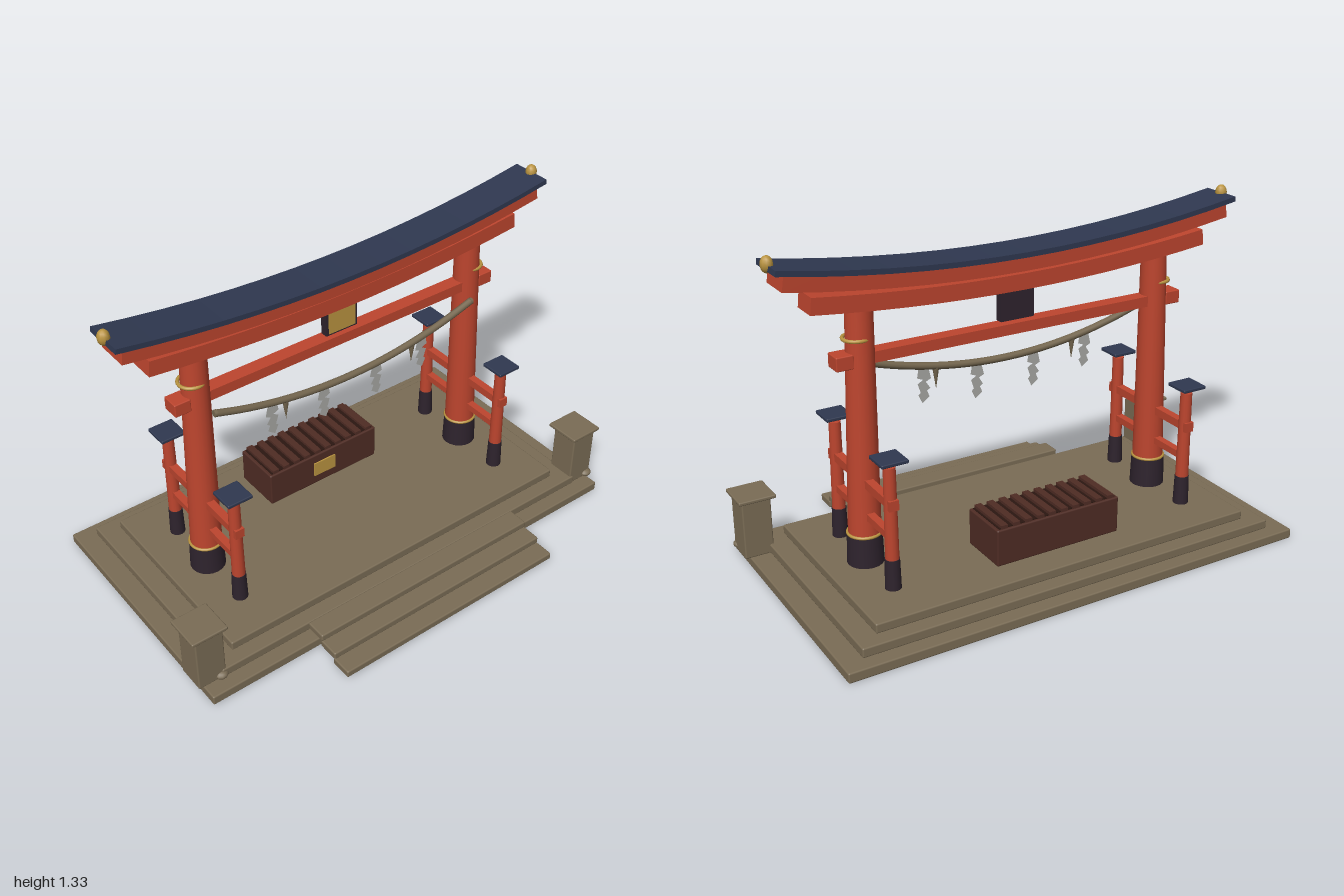
import * as THREE from 'three';
import { RoundedBoxGeometry } from 'three/addons/geometries/RoundedBoxGeometry.js';

const mat = (name, color, side = THREE.FrontSide) => {
  const m = new THREE.MeshStandardMaterial({ color, side });
  m.name = name;
  return m;
};

export function createModel() {
  const stone = mat('stone', 0x7a6c55);
  const red = mat('vermilion', 0xbd452e);
  const navy = mat('roofNavy', 0x2f3850);
  const dark = mat('darkSleeve', 0x2e232d);
  const wood = mat('brownWood', 0x4f2c24);
  const deepWood = mat('deepWood', 0x2b1711);
  const gold = mat('gold', 0xba9440);
  const straw = mat('straw', 0x75674f);
  const paper = mat('paper', 0xa8a8a4, THREE.DoubleSide);

  const root = new THREE.Group();
  root.name = 'shrineGate';
  const Z = -0.095; // depth of the gate plane

  const group = (name, parent = root) => {
    const g = new THREE.Group();
    g.name = name;
    parent.add(g);
    return g;
  };
  const add = (parent, name, geo, material, x = 0, y = 0, z = 0) => {
    const m = new THREE.Mesh(geo, material);
    m.name = name;
    m.position.set(x, y, z);
    parent.add(m);
    return m;
  };
  // box given by its min / max extents
  const span = (parent, name, material, x0, x1, y0, y1, z0, z1, r = 0) => {
    const s = [x1 - x0, y1 - y0, z1 - z0];
    const geo = r ? new RoundedBoxGeometry(...s, 2, r) : new THREE.BoxGeometry(...s);
    return add(parent, name, geo, material, (x0 + x1) / 2, (y0 + y1) / 2, (z0 + z1) / 2);
  };

  // Stepped platform
  const platform = group('platform');
  span(platform, 'lowerTier', stone, -0.965, 0.965, 0, 0.04, -0.63, 0.437, 0.006);
  span(platform, 'middleTier', stone, -0.885, 0.885, 0.038, 0.076, -0.572, 0.378, 0.006);
  span(platform, 'upperTier', stone, -0.805, 0.805, 0.074, 0.112, -0.512, 0.318, 0.006);

  // Front steps
  const steps = group('frontSteps');
  for (let i = 0; i < 3; i++) {
    const z = 0.387 + i * 0.078, y = 0.061 - i * 0.028;
    span(steps, 'step', stone, -0.512, 0.512, y, y + 0.03, z, z + 0.087, 0.006);
  }

  // Stone posts on the front corners
  for (const s of [-1, 1]) {
    const post = group(s > 0 ? 'leftStonePost' : 'rightStonePost');
    const cx = s * 0.926;
    span(post, 'postBody', stone, cx - 0.058, cx + 0.058, 0.038, 0.278, 0.258, 0.374, 0.006);
    span(post, 'postCap', stone, cx - 0.074, cx + 0.074, 0.275, 0.29, 0.238, 0.386, 0.005);
    add(post, 'pebble', new THREE.SphereGeometry(0.027, 10, 8), stone, cx + 0.04, 0.053, 0.367)
      .scale.set(1, 0.6, 1);
  }

  // Pillars with their side supports
  for (const s of [-1, 1]) {
    const side = group(s > 0 ? 'leftPillar' : 'rightPillar');
    const x = s * 0.645;
    const shaft = add(side, 'shaft', new THREE.CylinderGeometry(0.05, 0.064, 1.0, 20), red, s * 0.638, 0.61, Z);
    shaft.rotation.z = s * 0.016;
    add(side, 'sleeve', new THREE.CylinderGeometry(0.066, 0.07, 0.122, 20), dark, x, 0.171, Z);
    const ring = new THREE.TorusGeometry(0.063, 0.006, 8, 24).rotateX(Math.PI / 2);
    add(side, 'lowerRing', ring, gold, x, 0.234, Z);
    const upper = new THREE.TorusGeometry(0.049, 0.007, 8, 24).rotateX(Math.PI / 2);
    add(side, 'upperRing', upper, gold, x, 0.988, Z);

    for (const d of [-1, 1]) {
      const pole = group(d > 0 ? 'frontPole' : 'backPole', side);
      const z = Z + d * 0.227;
      add(pole, 'poleShaft', new THREE.CylinderGeometry(0.023, 0.027, 0.46, 14), red, x, 0.358, z);
      add(pole, 'poleSleeve', new THREE.CylinderGeometry(0.028, 0.031, 0.12, 14), dark, x, 0.171, z);
      span(pole, 'poleCap', navy, x - 0.052, x + 0.052, 0.609, 0.623, z - 0.052, z + 0.052, 0.004);
      span(pole, 'railEnd', red, x - 0.019, x + 0.019, 0.429, 0.468, z + d * 0.015 - 0.016, z + d * 0.015 + 0.016);
    }
    span(side, 'upperRail', red, x - 0.016, x + 0.016, 0.432, 0.465, Z - 0.25, Z + 0.25);
    span(side, 'lowerRail', red, x - 0.015, x + 0.015, 0.304, 0.332, Z - 0.225, Z + 0.225);
  }

  // Straight tie beam with wedge ends
  const tie = group('tieBeam');
  span(tie, 'beam', red, -0.72, 0.72, 0.892, 0.934, Z - 0.029, Z + 0.029);
  for (const s of [-1, 1])
    add(tie, 'beamEnd', new RoundedBoxGeometry(0.066, 0.053, 0.072, 2, 0.004), red, s * 0.706, 0.913, Z);

  // Upward-curving beams laid from short straight blocks
  const curvedBeam = (name, material, half, yMid, rise, h, d, n) => {
    const g = group(name);
    const f = (x) => yMid + rise * (x / half) ** 2;
    for (let i = 0; i < n; i++) {
      const x0 = -half + (2 * half * i) / n, x1 = x0 + (2 * half) / n;
      const dy = f(x1) - f(x0);
      const geo = new THREE.BoxGeometry(Math.hypot(x1 - x0, dy) + 0.004, h, d);
      add(g, name + 'Block', geo, material, (x0 + x1) / 2, (f(x0) + f(x1)) / 2, Z)
        .rotation.z = Math.atan2(dy, x1 - x0);
    }
  };
  curvedBeam('lowerLintel', red, 0.825, 1.097, 0.048, 0.062, 0.106, 14);
  curvedBeam('upperLintel', red, 0.923, 1.17, 0.073, 0.058, 0.134, 14);
  curvedBeam('roof', navy, 0.952, 1.206, 0.081, 0.02, 0.168, 14);

  // Roof finials
  for (const s of [-1, 1])
    add(root, s > 0 ? 'leftFinial' : 'rightFinial', new THREE.SphereGeometry(0.023, 10, 8), gold, s * 0.95, 1.298, Z)
      .scale.y = 1.32;

  // Blank plaque
  const plaque = group('plaque');
  span(plaque, 'plaqueFrame', dark, -0.071, 0.071, 0.943, 1.075, Z - 0.015, Z + 0.017);
  span(plaque, 'plaqueFace', gold, -0.06, 0.06, 0.952, 1.062, Z + 0.015, Z + 0.022);

  // Sagging rope with tassels and folded paper streamers
  const rope = group('rope');
  const RZ = -0.025;
  const ropeY = (x) => 0.765 + 0.1 * (x / 0.6) ** 2;
  const path = [];
  for (let i = 0; i <= 12; i++) {
    const x = -0.6 + i * 0.1;
    path.push(new THREE.Vector3(x, ropeY(x), RZ));
  }
  add(rope, 'ropeStrand', new THREE.TubeGeometry(new THREE.CatmullRomCurve3(path), 48, 0.014, 10), straw);
  for (const s of [-1, 1]) {
    const end = new THREE.CylinderGeometry(0.014, 0.014, 0.012, 10).rotateZ(Math.PI / 2);
    add(rope, 'ropeEnd', end, straw, s * 0.6, ropeY(0.6), RZ);
    add(rope, 'tassel', new THREE.ConeGeometry(0.014, 0.09, 10).rotateX(Math.PI), straw, s * 0.3, 0.745, RZ);
  }
  const zigzag = new THREE.Shape([
    [-0.02, 0], [0.02, 0.012], [0.028, -0.032], [0.004, -0.042], [0.026, -0.056], [0.014, -0.092],
    [0.024, -0.1], [0.008, -0.134], [-0.022, -0.112], [-0.012, -0.088], [-0.026, -0.08],
    [-0.008, -0.052], [-0.03, -0.042],
  ].map(([x, y]) => new THREE.Vector2(x, y)));
  for (const x of [-0.36, -0.125, 0.125, 0.35])
    add(rope, 'paperStreamer', new THREE.ShapeGeometry(zigzag), paper, x, ropeY(x) - 0.012, RZ);

  // Slatted offering box
  const box = group('offeringBox');
  span(box, 'boxBody', wood, -0.267, 0.267, 0.125, 0.272, -0.414, -0.205, 0.006);
  span(box, 'boxOpening', deepWood, -0.255, 0.255, 0.268, 0.275, -0.404, -0.215);
  for (let i = 0; i < 10; i++) {
    const x = -0.234 + i * 0.052;
    span(box, 'slat', wood, x - 0.014, x + 0.014, 0.27, 0.286, -0.408, -0.212);
  }
  span(box, 'boxPlate', gold, -0.053, 0.053, 0.17, 0.234, -0.207, -0.199);

  return root;
}
